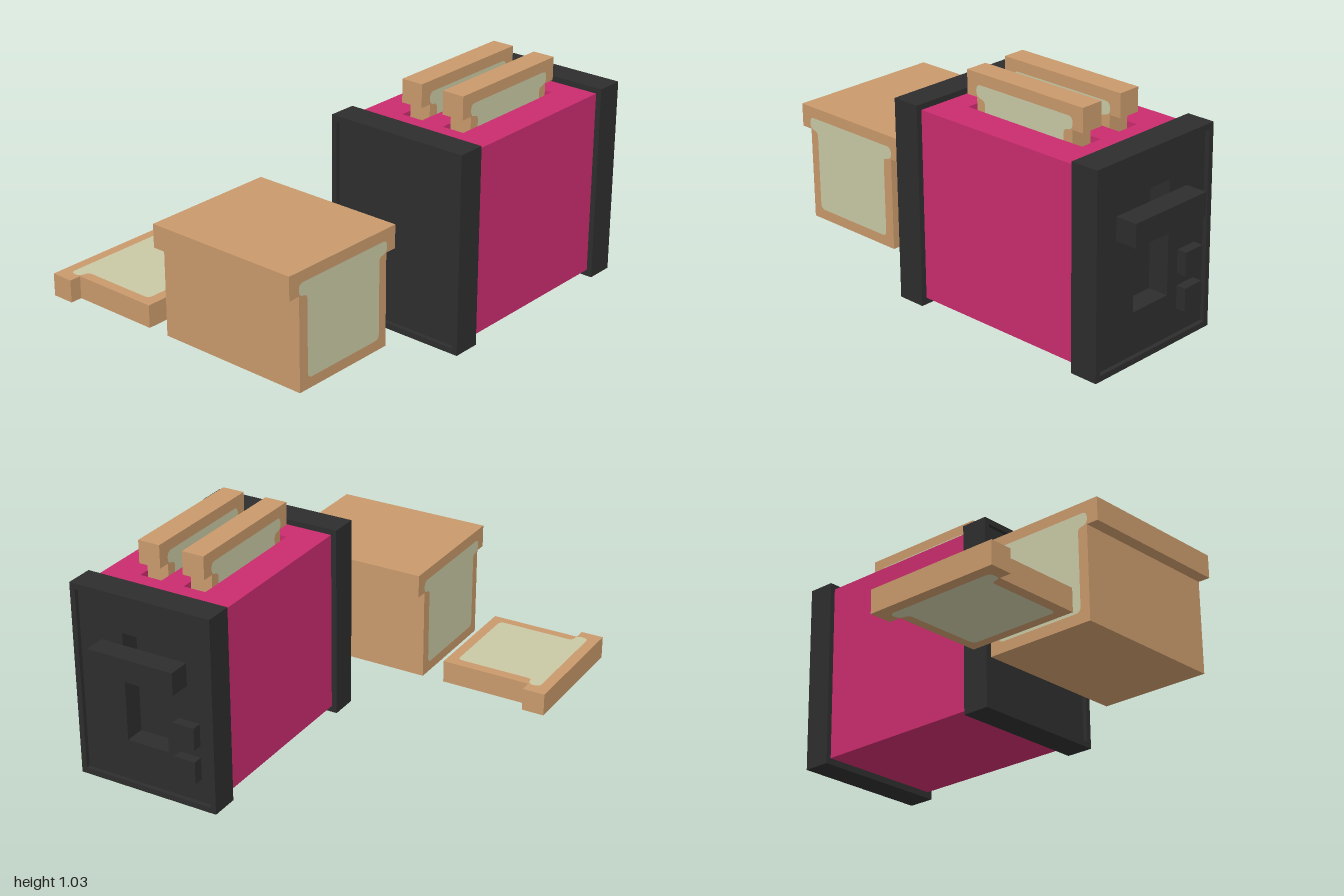
import * as THREE from 'three';

const mat = (name, color) => Object.assign(new THREE.MeshStandardMaterial({ color }), { name });

export function createModel() {
  const root = new THREE.Group();
  root.name = 'toasterAndBread';
  const pink = mat('pink enamel', 0xc92c6d);
  const black = mat('black plastic', 0x2d2d2d);
  const crust = mat('crust', 0xc8996b);
  const crumb = mat('crumb', 0xc8c8a4);

  const add = (parent, name, geo, material) => {
    const m = new THREE.Mesh(geo, material);
    m.name = name;
    parent.add(m);
    return m;
  };
  // Box given by its limits on each axis
  const box = (parent, name, material, x0, x1, y0, y1, z0, z1) =>
    add(parent, name, new THREE.BoxGeometry(x1 - x0, y1 - y0, z1 - z0), material)
      .position.set((x0 + x1) / 2, (y0 + y1) / 2, (z0 + z1) / 2);
  const rect = (x0, x1, y0, y1, Type = THREE.Shape) =>
    new Type([[x0, y0], [x1, y0], [x1, y1], [x0, y1]].map(p => new THREE.Vector2(...p)));
  // Rectangle with rectangular holes, extruded along z
  const holed = (outer, holes, depth) => {
    const s = rect(...outer);
    holes.forEach(h => s.holes.push(rect(...h, THREE.Path)));
    return new THREE.ExtrudeGeometry(s, { depth, bevelEnabled: false });
  };

  // Toaster body: closed lower half, slotted upper half
  const toaster = new THREE.Group();
  toaster.name = 'toaster';
  root.add(toaster);
  const slotX = [0.325, 0.54];
  box(toaster, 'bodyBase', pink, 0.117, 0.747, 0.03, 0.5, -0.79, 0.055);
  const upper = holed([0.117, 0.747, -0.055, 0.79],
    slotX.map(x => [x - 0.053, x + 0.053, 0.057, 0.679]), 0.37);
  upper.rotateX(-Math.PI / 2);
  add(toaster, 'slottedBody', upper, pink).position.y = 0.5;

  // End caps: raised rim around a recessed panel
  const inner = [0.117, 0.747, 0.026, 0.869];
  for (const [name, z] of [['frontRim', 0.055], ['backRim', -0.92]]) {
    add(toaster, name, holed([0.092, 0.772, 0, 0.895], [inner], 0.13), black).position.z = z;
  }
  box(toaster, 'frontPanel', black, ...inner, 0.055, 0.165);
  box(toaster, 'leverSlotFloor', black, ...inner, -0.805, -0.79);
  add(toaster, 'backPanel', holed(inner, [[0.33, 0.535, 0.215, 0.715]], 0.095), black)
    .position.z = -0.9;

  // Controls on the back
  box(toaster, 'leverHandle', black, 0.225, 0.64, 0.557, 0.66, -1, -0.9);
  for (const y of [0.135, 0.293]) {
    box(toaster, 'button', black, 0.17, 0.272, y, y + 0.103, -0.945, -0.9);
  }

  // Bread cross-section: wide top over a narrower block
  const half = [[0.26, 0], [0.26, 0.42], [0.315, 0.42], [0.315, 0.525]];
  const mirrored = [...half, ...half.slice().reverse().map(([x, y]) => [-x, y])];
  const crustShape = new THREE.Shape(mirrored.map(p => new THREE.Vector2(...p)));

  // Crumb outline with rounded corners
  const c = new THREE.Shape();
  c.moveTo(-0.19, 0.048);
  c.lineTo(0.19, 0.048);
  c.quadraticCurveTo(0.215, 0.048, 0.215, 0.073);
  c.lineTo(0.215, 0.395);
  c.quadraticCurveTo(0.215, 0.415, 0.235, 0.417);
  c.quadraticCurveTo(0.263, 0.419, 0.263, 0.447);
  c.quadraticCurveTo(0.263, 0.476, 0.238, 0.476);
  c.lineTo(-0.238, 0.476);
  c.quadraticCurveTo(-0.263, 0.476, -0.263, 0.447);
  c.quadraticCurveTo(-0.263, 0.419, -0.235, 0.417);
  c.quadraticCurveTo(-0.215, 0.415, -0.215, 0.395);
  c.lineTo(-0.215, 0.073);
  c.quadraticCurveTo(-0.215, 0.048, -0.19, 0.048);

  const bread = (name, thickness) => {
    const g = new THREE.Group();
    g.name = name;
    const body = new THREE.ExtrudeGeometry(crustShape, { depth: thickness, bevelEnabled: false });
    body.translate(0, 0, -thickness / 2);
    add(g, 'crust', body, crust);
    for (const side of [1, -1]) {
      const face = add(g, 'crumbFace', new THREE.ShapeGeometry(c, 5), crumb);
      face.position.z = side * (thickness / 2 + 0.002);
      if (side < 0) face.rotation.y = Math.PI;
    }
    root.add(g);
    return g;
  };

  // Two slices standing in the slots
  for (const x of slotX) {
    const slice = bread('toastSlice', 0.104);
    slice.position.set(x, 0.505, -0.368);
    slice.rotation.y = Math.PI / 2;
  }

  // Uncut loaf
  const loaf = bread('loaf', 0.735);
  loaf.position.set(0.222, 0.081, 0.685);
  loaf.rotation.y = Math.PI / 2;

  // Slice lying flat, its top towards -x
  const flat = bread('flatSlice', 0.104);
  flat.position.set(-0.25, 0.133, 0.685);
  flat.setRotationFromMatrix(new THREE.Matrix4().makeBasis(
    new THREE.Vector3(0, 0, 1), new THREE.Vector3(-1, 0, 0), new THREE.Vector3(0, -1, 0)));

  return root;
}
